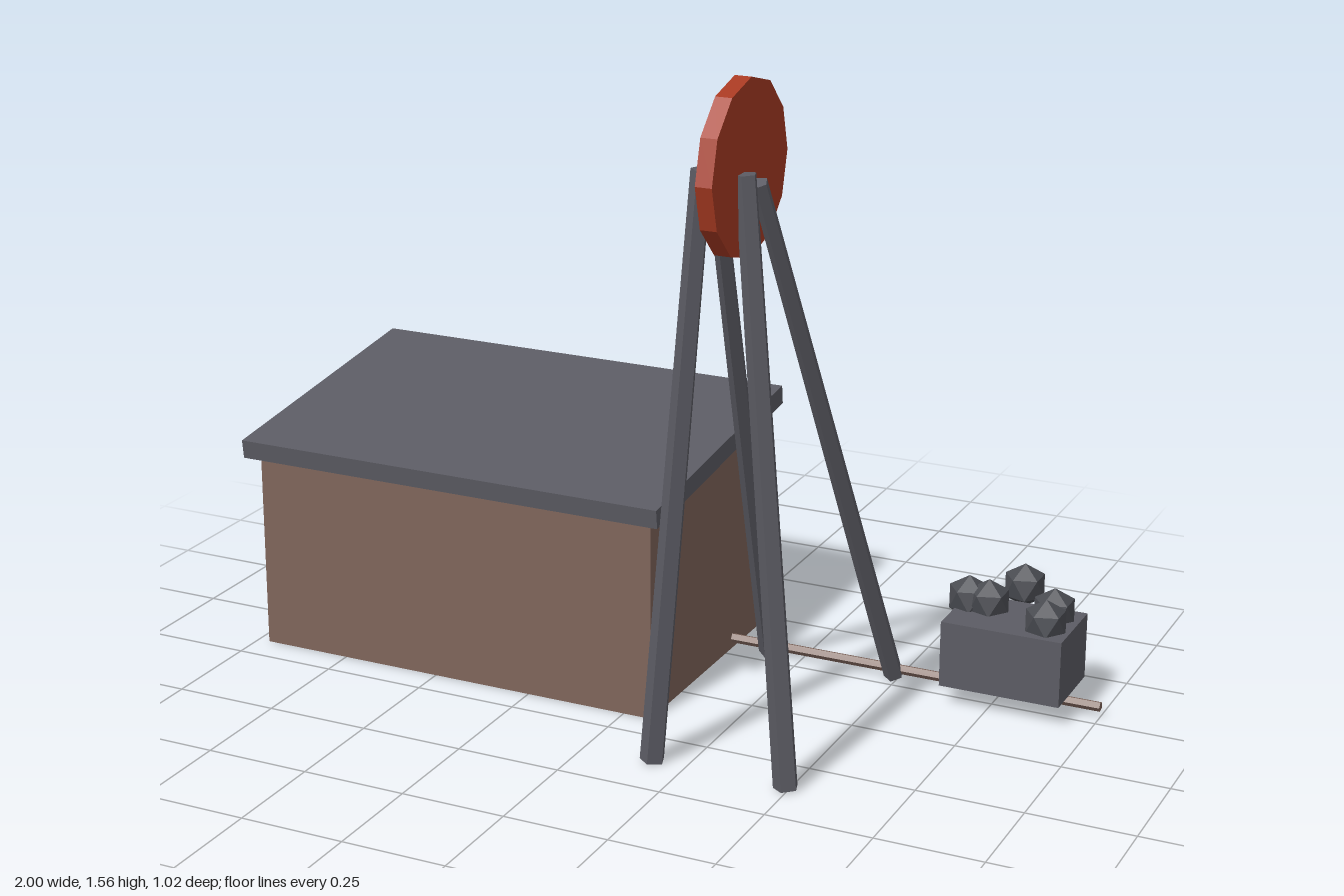
import * as THREE from 'three';

const mat = (name, color) => {
  const m = new THREE.MeshStandardMaterial({ color, flatShading: true });
  m.name = name;
  return m;
};

export function createModel() {
  const wood = mat('wood', 0x7f655b);
  const metal = mat('grey metal', 0x5c5c64);
  const red = mat('wheel red', 0xa83a22);
  const coal = mat('dark rock', 0x4a4c52);

  const model = new THREE.Group();
  model.name = 'mineHead';
  const add = (name, geometry, material, x, y, z) => {
    const mesh = new THREE.Mesh(geometry, material);
    mesh.name = name;
    mesh.position.set(x, y, z);
    model.add(mesh);
    return mesh;
  };

  // Shed with a single-pitch roof rising to the back
  add('shedWalls', new THREE.BoxGeometry(1.04, 0.52, 0.65), wood, -0.45, 0.26, -0.155);
  const roof = add('shedRoof', new THREE.BoxGeometry(1.1, 0.046, 0.713), metal, -0.45, 0.548, -0.153);
  roof.rotation.x = 0.12;

  // Tapered five-sided strut between two points
  const strut = (name, bottom, top, rTop, rBottom) => {
    const a = new THREE.Vector3(...bottom), b = new THREE.Vector3(...top);
    const dir = b.clone().sub(a);
    const mid = a.clone().add(b).multiplyScalar(0.5);
    const mesh = add(name, new THREE.CylinderGeometry(rTop, rBottom, dir.length(), 5), metal, mid.x, mid.y, mid.z);
    mesh.quaternion.setFromUnitVectors(new THREE.Vector3(0, 1, 0), dir.normalize());
  };

  // Headframe: two upright legs in front, two raking legs behind
  for (const [side, s] of [['left', 1], ['right', -1]]) {
    const foot = 0.331 + s * 0.162, head = 0.333 + s * 0.05;
    strut(side + 'FrontLeg', [foot, 0.002, 0.365], [head, 1.368, 0.365], 0.024, 0.029);
    strut(side + 'BackLeg', [foot, 0.012, -0.283], [head, 1.335, 0.298], 0.02, 0.024);
  }

  // Winding wheel
  const wheel = new THREE.CylinderGeometry(0.193, 0.193, 0.038, 12).rotateZ(Math.PI / 2);
  add('windingWheel', wheel, red, 0.352, 1.368, 0.315);

  // Rail running out from the shed
  const rail = new THREE.CylinderGeometry(0.012, 0.012, 0.96, 5).rotateZ(Math.PI / 2);
  add('rail', rail, wood, 0.52, 0.026, -0.29);

  // Ore cart and its load
  add('oreCart', new THREE.BoxGeometry(0.29, 0.16, 0.195), metal, 0.785, 0.13, -0.287);
  const rock = new THREE.IcosahedronGeometry(0.054, 0).rotateZ(0.5536);
  [[0.757, -0.442], [0.663, -0.317], [0.713, -0.312], [0.868, -0.325], [0.872, -0.25]]
    .forEach(([x, z], i) => add('rock' + (i + 1), rock, coal, x, 0.23, z));

  return model;
}
